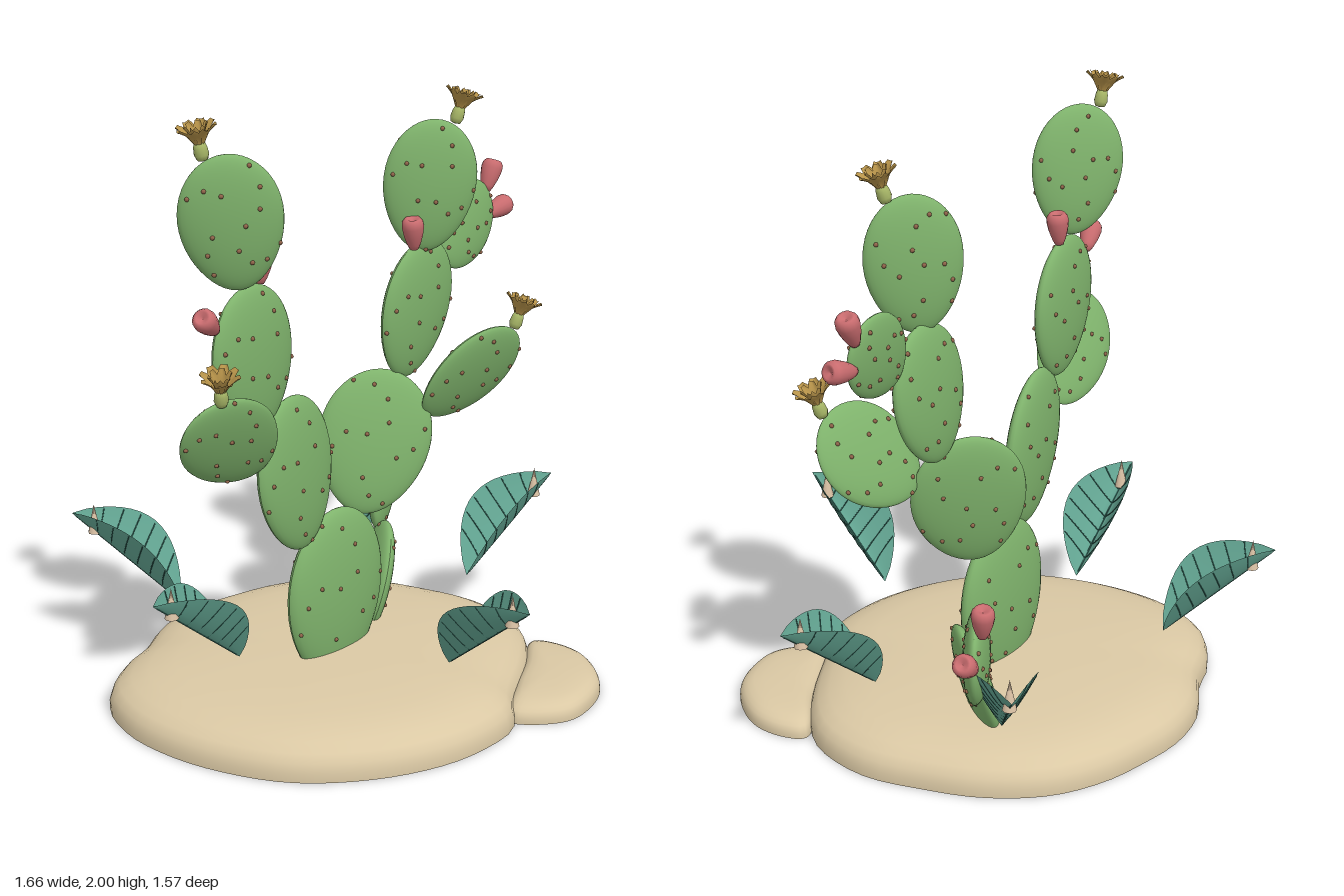
import * as THREE from 'three';
import { mergeGeometries } from 'three/addons/utils/BufferGeometryUtils.js';

const V = (a) => new THREE.Vector3(...a);
const UP = new THREE.Vector3(0, 1, 0);

export function createModel() {
  const model = new THREE.Group();
  const paint = (name, color, side = THREE.FrontSide) => {
    const m = new THREE.MeshStandardMaterial({ color, side });
    m.name = name;
    return m;
  };
  const padGreen = paint('padGreen', 0x7fb36c);
  const areoleBrown = paint('areoleBrown', 0x93664c);
  const fruitRed = paint('fruitRed', 0xc96c6f);
  const petalGold = paint('petalGold', 0xb8944a, THREE.DoubleSide);
  const budGreen = paint('budGreen', 0xa9b868);
  const leafTeal = paint('leafTeal', 0x63a592, THREE.DoubleSide);
  const veinTeal = paint('veinTeal', 0x2f6358);
  const thornCream = paint('thornCream', 0xdcc3a6);
  const sand = paint('sand', 0xdac8a4);

  const add = (parent, name, geometry, material) => {
    const mesh = new THREE.Mesh(geometry, material);
    mesh.name = name;
    parent.add(mesh);
    return mesh;
  };
  const aim = (object, dir) => object.quaternion.setFromUnitVectors(UP, V(dir).normalize());

  // Rounded ground slabs: an outline shrunk ring by ring towards the top
  function slab(name, outline, height) {
    const curve = new THREE.CatmullRomCurve3(outline.map(([x, z]) => new THREE.Vector3(x, 0, z)), true);
    const n = 72, points = curve.getSpacedPoints(n).slice(0, n);
    const mid = points.reduce((s, p) => s.add(p), new THREE.Vector3()).divideScalar(n);
    const rings = [[0, 0], [1, 0], [1, 0], [1, 0.2], [0.985, 0.4], [0.955, 0.56], [0.9, 0.7],
      [0.82, 0.82], [0.7, 0.91], [0.5, 0.97], [0.25, 1], [0, 1]];
    const pos = [], index = [];
    rings.forEach(([s, h], k) => points.forEach((p, j) => {
      pos.push(mid.x + (p.x - mid.x) * s, h * height, mid.z + (p.z - mid.z) * s);
      if (k === rings.length - 1) return;
      const a = k * n + j, b = k * n + (j + 1) % n;
      index.push(a, a + n, b, b, a + n, b + n);
    }));
    const g = new THREE.BufferGeometry();
    g.setAttribute('position', new THREE.Float32BufferAttribute(pos, 3));
    g.setIndex(index);
    g.computeVertexNormals();
    add(model, name, g, sand);
  }
  slab('groundSlab', [[-0.81, -0.15], [-0.78, -0.31], [-0.665, -0.44], [-0.56, -0.5], [-0.42, -0.62],
    [-0.26, -0.68], [-0.1, -0.69], [0.07, -0.68], [0.25, -0.62], [0.41, -0.49], [0.52, -0.33],
    [0.61, -0.15], [0.62, 0.05], [0.57, 0.17], [0.47, 0.29], [0.29, 0.45], [0.21, 0.54], [0.07, 0.585],
    [-0.1, 0.595], [-0.33, 0.54], [-0.55, 0.41], [-0.71, 0.2], [-0.79, 0]], 0.15);
  slab('sideSlab', [[0.61, 0.14], [0.665, 0.2], [0.688, 0.325], [0.61, 0.5], [0.47, 0.585],
    [0.385, 0.595], [0.27, 0.54], [0.235, 0.495], [0.34, 0.38], [0.47, 0.27]], 0.072);

  // Cactus pads: flattened eggs dotted with areoles on both faces
  const dot = new THREE.SphereGeometry(0.0075, 6, 4);
  function pad(name, center, up, normal, hh, hw, t, seed) {
    const group = new THREE.Group();
    group.name = name;
    const y = V(up).normalize();
    const x = new THREE.Vector3().crossVectors(y, V(normal)).normalize();
    const z = new THREE.Vector3().crossVectors(x, y);
    group.quaternion.setFromRotationMatrix(new THREE.Matrix4().makeBasis(x, y, z));
    group.position.set(...center);
    const egg = (v) => 1 + 0.1 * v - 0.05 * v * v;
    const body = new THREE.SphereGeometry(1, 32, 24);
    const p = body.attributes.position;
    for (let i = 0; i < p.count; i++) {
      const v = p.getY(i);
      p.setXYZ(i, p.getX(i) * hw * egg(v), v * hh, p.getZ(i) * t);
    }
    body.computeVertexNormals();
    add(group, 'padBody', body, padGreen);
    const dots = [];
    for (let i = 0; i < 28; i++) {
      const r = 0.97 * Math.sqrt((i + 0.5) / 28), a = i * 2.4 + seed * 1.3;
      const u = r * Math.cos(a), v = r * Math.sin(a), d = t * Math.sqrt(1 - r * r);
      dots.push(dot.clone().translate(u * hw * egg(v), v * hh, i % 2 ? d : -d));
    }
    add(group, 'areoles', mergeGeometries(dots), areoleBrown);
    model.add(group);
  }
  [
    ['trunkPad', [-0.075, 0.33, -0.045], [0.02, 1, 0], [0.2, 0, 0.98], 0.3, 0.21, 0.06],
    ['leftMiddlePad', [-0.262, 0.815, 0.015], [-0.1, 0.52, 0.03], [0.39, 0, 0.92], 0.265, 0.19, 0.048],
    ['leftUpperPad', [-0.445, 1.245, 0.07], [-0.06, 0.47, 0.02], [0.3, 0, 0.95], 0.237, 0.175, 0.045],
    ['leftTopPad', [-0.525, 1.685, 0.098], [-0.07, 0.41, 0.02], [-0.41, 0, 0.91], 0.212, 0.155, 0.045],
    ['leftFrontPad', [-0.578, 1.035, 0.155], [-0.28, 0.27, 0.13], [0, -0.48, 1], 0.21, 0.15, 0.034],
    ['rightMiddlePad', [0.128, 0.795, -0.115], [0.13, 0.45, -0.03], [-0.45, 0, 0.89], 0.243, 0.188, 0.045],
    ['rightUpperPad', [0.307, 1.215, -0.135], [0.1, 0.45, 0], [0.27, 0, 0.96], 0.232, 0.17, 0.045],
    ['rightTopPad', [0.335, 1.628, -0.105], [0.04, 0.42, 0.02], [-0.41, 0, 0.91], 0.216, 0.152, 0.045],
    ['rightSidePad', [0.572, 1.437, -0.22], [0.68, 0.66, -0.27], [0.3, 0.15, 1], 0.162, 0.125, 0.03],
    ['rightFrontPad', [0.437, 1.005, -0.005], [0.285, 0.25, 0.105], [0, -0.42, 1], 0.2, 0.155, 0.034],
    ['lowBasePad', [0.215, 0.225, -0.24], [0.35, 0.95, -0.12], [0.88, -0.3, 0.45], 0.21, 0.17, 0.045],
    ['lowUpperPad', [0.41, 0.49, -0.462], [0.2, 0.3, -0.2], [0.69, 0, 0.72], 0.195, 0.145, 0.042],
  ].forEach((args, i) => pad(...args, i));

  // Red fruits with a dimpled crown
  const fruitShape = new THREE.LatheGeometry([[0, -0.055], [0.014, -0.053], [0.022, -0.035], [0.031, -0.005],
    [0.036, 0.025], [0.034, 0.042], [0.026, 0.053], [0.018, 0.053], [0, 0.042]]
    .map((q) => new THREE.Vector2(...q)), 16);
  [
    [[-0.645, 1.415, 0.155], [-0.65, 0.6, 0.4]],
    [[-0.4, 1.525, 0.052], [0.12, 1, 0]],
    [[0.26, 1.485, -0.088], [-0.15, 1, 0.1]],
    [[0.712, 1.572, -0.275], [0.4, 0.9, -0.12]],
    [[0.742, 1.455, -0.27], [0.95, 0.25, -0.1]],
    [[0.492, 0.69, -0.58], [0.12, 0.95, -0.15]],
    [[0.573, 0.585, -0.605], [0.7, 0.6, -0.3]],
  ].forEach(([at, dir]) => {
    const fruit = add(model, 'fruit', fruitShape, fruitRed);
    fruit.position.set(...at);
    aim(fruit, dir);
  });

  // Flowers: a green bud below two whorls of cupped petals
  const budShape = new THREE.LatheGeometry([[0, 0], [0.016, 0.004], [0.022, 0.02], [0.02, 0.042], [0.015, 0.058], [0, 0.062]]
    .map((q) => new THREE.Vector2(...q)), 12);
  function petal(angle, reach, rise, width) {
    const g = new THREE.PlaneGeometry(2, 1, 4, 6), p = g.attributes.position;
    for (let i = 0; i < p.count; i++) {
      const u = p.getX(i), s = p.getY(i) + 0.5;
      const w = width * (0.3 + 0.7 * Math.sin(Math.PI * Math.min(1, s * 0.9)));
      p.setXYZ(i, u * w, 0.048 + rise * (s - 0.15 * s * s) + 0.006 * u * u * s,
        0.012 + reach * (0.45 * s + 0.55 * s * s) - 0.006 * u * u * s);
    }
    g.rotateY(angle);
    g.computeVertexNormals();
    return g;
  }
  const petals = [];
  for (let i = 0; i < 8; i++) petals.push(petal(i * Math.PI / 4, 0.05, 0.066, 0.02));
  for (let i = 0; i < 6; i++) petals.push(petal(i * Math.PI / 3 + 0.3, 0.026, 0.07, 0.014));
  const whorl = mergeGeometries(petals);
  [
    [[-0.608, 1.878, 0.085], [-0.2, 1, 0]],
    [[0.41, 1.825, -0.075], [0.25, 0.9, 0.1]],
    [[-0.655, 1.19, 0.235], [-0.15, 0.95, 0.2]],
    [[0.56, 1.15, 0.06], [0.3, 0.95, 0.12]],
  ].forEach(([at, dir]) => {
    const flower = new THREE.Group();
    flower.name = 'flower';
    add(flower, 'bud', budShape, budGreen);
    add(flower, 'petals', whorl, petalGold);
    flower.position.set(...at);
    aim(flower, dir);
    model.add(flower);
  });

  // Agave leaves: folded blades with raised veins and a thorn, pointing outwards
  const onLeaf = (u, s, lift = 0) => {
    const w = 0.1 * Math.pow(Math.max(0, Math.sin(Math.PI * s)), 0.8);
    const fold = 1.25 * w * Math.pow(Math.abs(u), 1.3) + lift;
    return new THREE.Vector3(u * w, 0.245 + 0.3 * s + fold * 0.76, 0.355 * s - fold * 0.64);
  };
  const blade = new THREE.PlaneGeometry(2, 1, 12, 16);
  const bp = blade.attributes.position;
  for (let i = 0; i < bp.count; i++) {
    const q = onLeaf(bp.getX(i), bp.getY(i) + 0.5);
    bp.setXYZ(i, q.x, q.y, q.z);
  }
  blade.computeVertexNormals();
  const vein = (points, r) => new THREE.TubeGeometry(new THREE.CatmullRomCurve3(points), 8, r, 5);
  const veins = [vein([0.03, 0.25, 0.5, 0.75, 0.97].map((s) => onLeaf(0, s, 0.002)), 0.003)];
  for (const side of [-1, 1])
    for (let s = 0.15; s < 0.8; s += 0.12)
      veins.push(vein([0, 0.3, 0.6, 0.95].map((u) => onLeaf(side * u, s + 0.1 * u, 0.001)), 0.002));
  const veinShape = mergeGeometries(veins);
  const thornShape = new THREE.ConeGeometry(0.022, 0.1, 8).translate(0, 0.53, 0.28);
  [
    [-0.435, -0.44, -0.27, -0.24],
    [-0.485, 0.02, -0.35, 0.08],
    [0.35, -0.51, 0.22, -0.28],
    [0.475, -0.055, 0.355, 0.01],
    [0.035, 0.43, 0.03, 0.36],
  ].forEach(([x, z, dx, dz]) => {
    const leaf = new THREE.Group();
    leaf.name = 'agaveLeaf';
    add(leaf, 'blade', blade, leafTeal);
    add(leaf, 'veins', veinShape, veinTeal);
    add(leaf, 'thorn', thornShape, thornCream);
    leaf.position.set(x, 0, z);
    leaf.rotation.y = Math.atan2(dx, dz);
    model.add(leaf);
  });

  return model;
}
